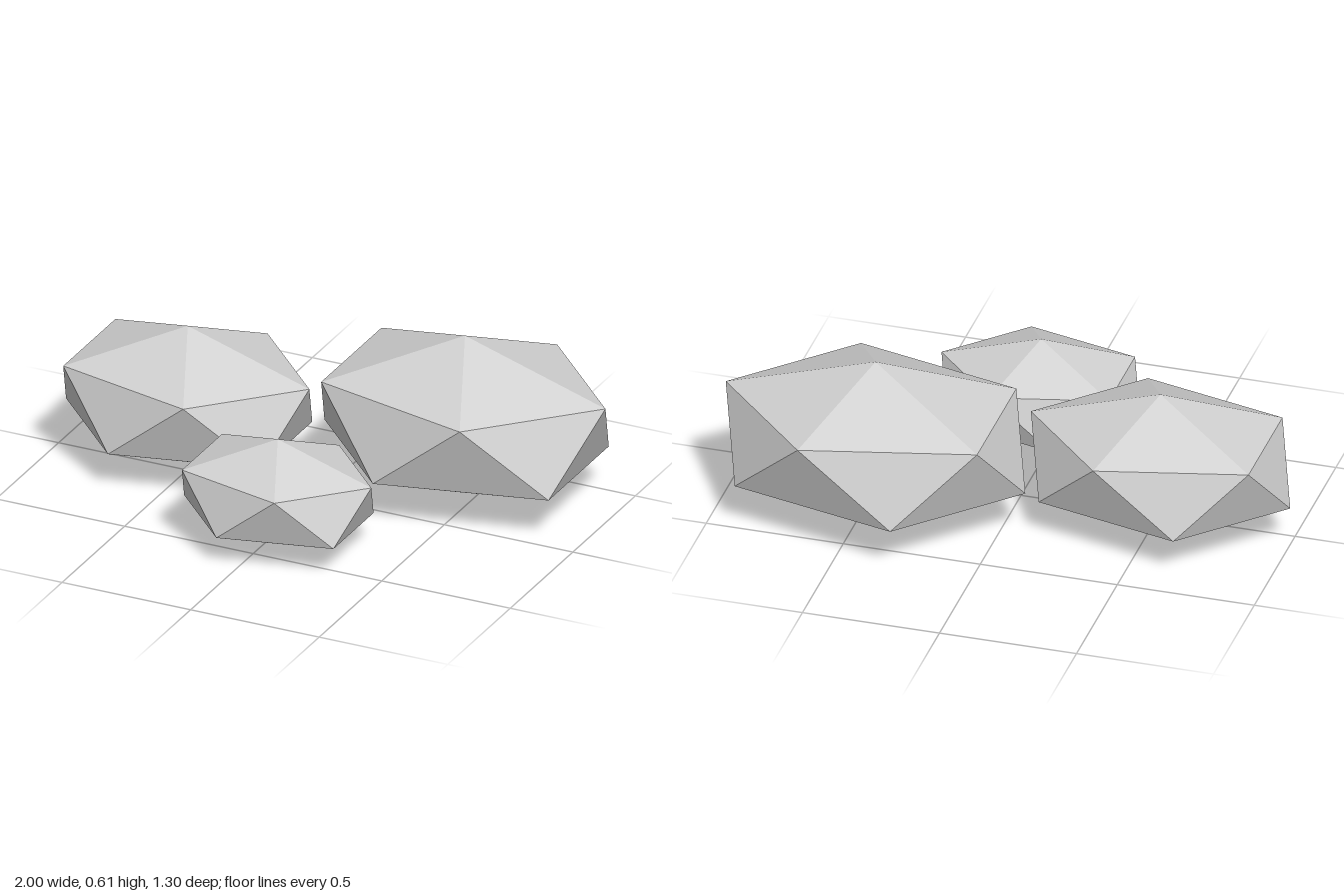
import * as THREE from 'three';

const stone = new THREE.MeshStandardMaterial({ color: 0xd0d0d0 });
stone.name = 'stoneGrey';
stone.flatShading = true;

// Squashed icosahedron standing on one point, upper ring pointing to +x
function makeRock(name, size, x, z) {
  const geometry = new THREE.IcosahedronGeometry(1, 0);
  geometry.rotateZ(-Math.atan(2 / (1 + Math.sqrt(5))));
  geometry.scale(size, size * 0.5, size * 0.75);
  const rock = new THREE.Mesh(geometry, stone);
  rock.name = name;
  rock.position.set(x, size * 0.5, z);
  return rock;
}

export function createModel() {
  const group = new THREE.Group();
  group.name = 'rockCluster';
  group.add(
    makeRock('largeRock', 0.611, 0.453, -0.262),
    makeRock('mediumRock', 0.529, -0.527, -0.06),
    makeRock('smallRock', 0.407, 0.043, 0.392),
  );
  return group;
}
